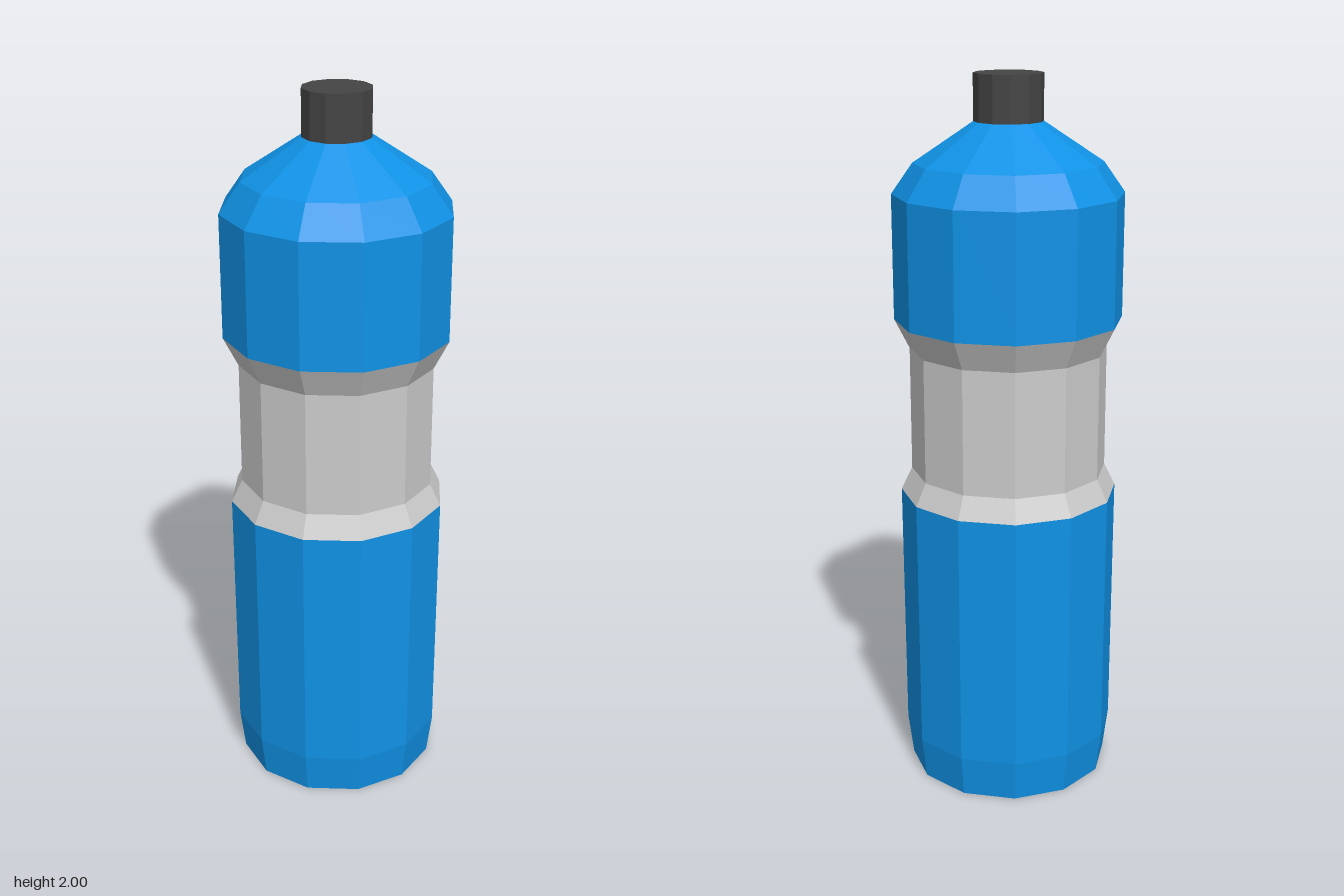
import * as THREE from 'three';

const SIDES = 12;

// One faceted ring of the bottle, turned from [radius, height] points listed upwards
function turned(name, color, profile) {
  const points = profile.map(([r, y]) => new THREE.Vector2(r, y));
  const material = new THREE.MeshStandardMaterial({ color, flatShading: true });
  const mesh = new THREE.Mesh(new THREE.LatheGeometry(points, SIDES), material);
  mesh.name = name;
  return mesh;
}

export function createModel() {
  const bottle = new THREE.Group();
  bottle.name = 'sportsBottle';
  const blue = 0x1092e6;

  bottle.add(
    // Closed base and slightly tapered lower body
    turned('lowerBody', blue, [[0, 0], [0.287, 0], [0.302, 0.12], [0.305, 0.847]]),
    // Narrow waist for the hand
    turned('grip', 0xcccccc, [[0.305, 0.847], [0.274, 0.91], [0.274, 1.26], [0.315, 1.342]]),
    // Upper body with its sloping shoulder
    turned('upperBody', blue, [[0.315, 1.342], [0.315, 1.685], [0.257, 1.767], [0.094, 1.875], [0, 1.875]]),
    // Drinking cap
    turned('cap', 0x444444, [[0.094, 1.873], [0.094, 2], [0, 2]]),
  );
  return bottle;
}
